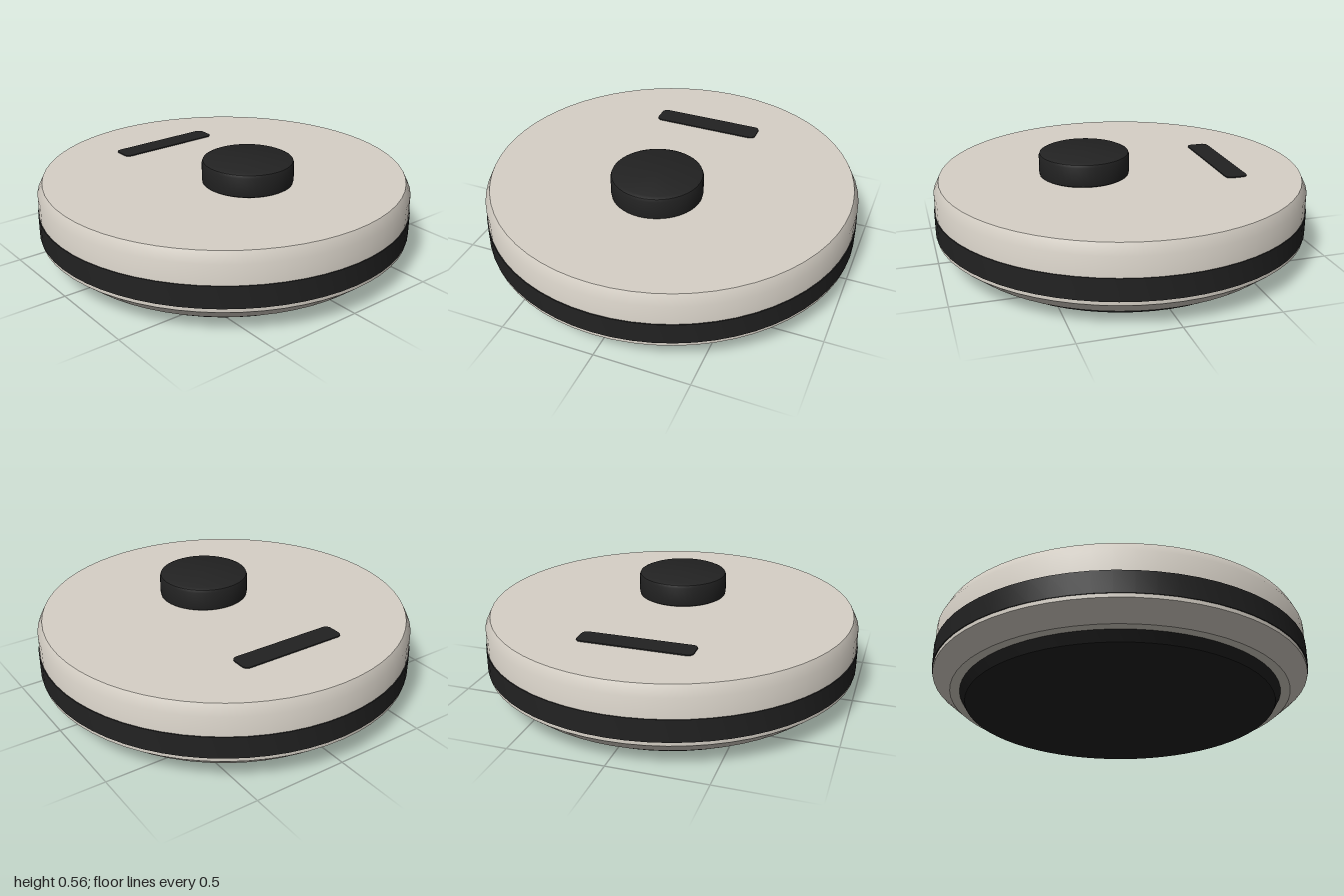
import * as THREE from 'three';
import { toCreasedNormals } from 'three/addons/utils/BufferGeometryUtils.js';

const material = (name, color) => new THREE.MeshStandardMaterial({ name, color });

// Round part turned from a profile of [radius, height] points, bottom to top
function turned(name, profile, mat, segments = 64) {
  const points = profile.map(([r, y]) => new THREE.Vector2(r, y));
  const mesh = new THREE.Mesh(toCreasedNormals(new THREE.LatheGeometry(points, segments), 0.6), mat);
  mesh.name = name;
  return mesh;
}

export function createModel() {
  const shell = material('warm grey shell', 0xd6d0c6);
  const black = material('soft black', 0x222222);
  const model = new THREE.Group();
  model.name = 'robotVacuum';

  // Main disc with bevelled rim and tapered underside
  model.add(turned('body', [
    [0, 0.05], [0.9, 0.05], [0.995, 0.13], [0.995, 0.37], [0.968, 0.425], [0, 0.425],
  ], shell));

  // Bumper strip around the side
  model.add(turned('bumperBand', [
    [0.99, 0.15], [1, 0.15], [1, 0.265], [0.99, 0.265],
  ], black));

  // Base plate underneath
  model.add(turned('basePlate', [
    [0, 0], [0.82, 0], [0.85, 0.05], [0, 0.05],
  ], black));

  // Raised sensor turret towards the front
  const turret = turned('sensorTurret', [
    [0, 0.425], [0.225, 0.425], [0.237, 0.432], [0.24, 0.445],
    [0.24, 0.533], [0.235, 0.547], [0.218, 0.555], [0, 0.555],
  ], black, 48);
  turret.position.z = 0.2;
  model.add(turret);

  // Thin control strip with rounded corners towards the back
  const w = 0.3, d = 0.06, r = 0.03;
  const outline = new THREE.Shape();
  outline.moveTo(-w + r, -d);
  outline.absarc(w - r, -d + r, r, -Math.PI / 2, 0);
  outline.absarc(w - r, d - r, r, 0, Math.PI / 2);
  outline.absarc(-w + r, d - r, r, Math.PI / 2, Math.PI);
  outline.absarc(-w + r, -d + r, r, Math.PI, Math.PI * 1.5);
  const strip = new THREE.Mesh(
    new THREE.ExtrudeGeometry(outline, { depth: 0.008, bevelEnabled: false, curveSegments: 6 }), black);
  strip.name = 'controlStrip';
  strip.rotation.x = -Math.PI / 2;
  strip.position.set(0, 0.423, -0.56);
  model.add(strip);

  return model;
}
